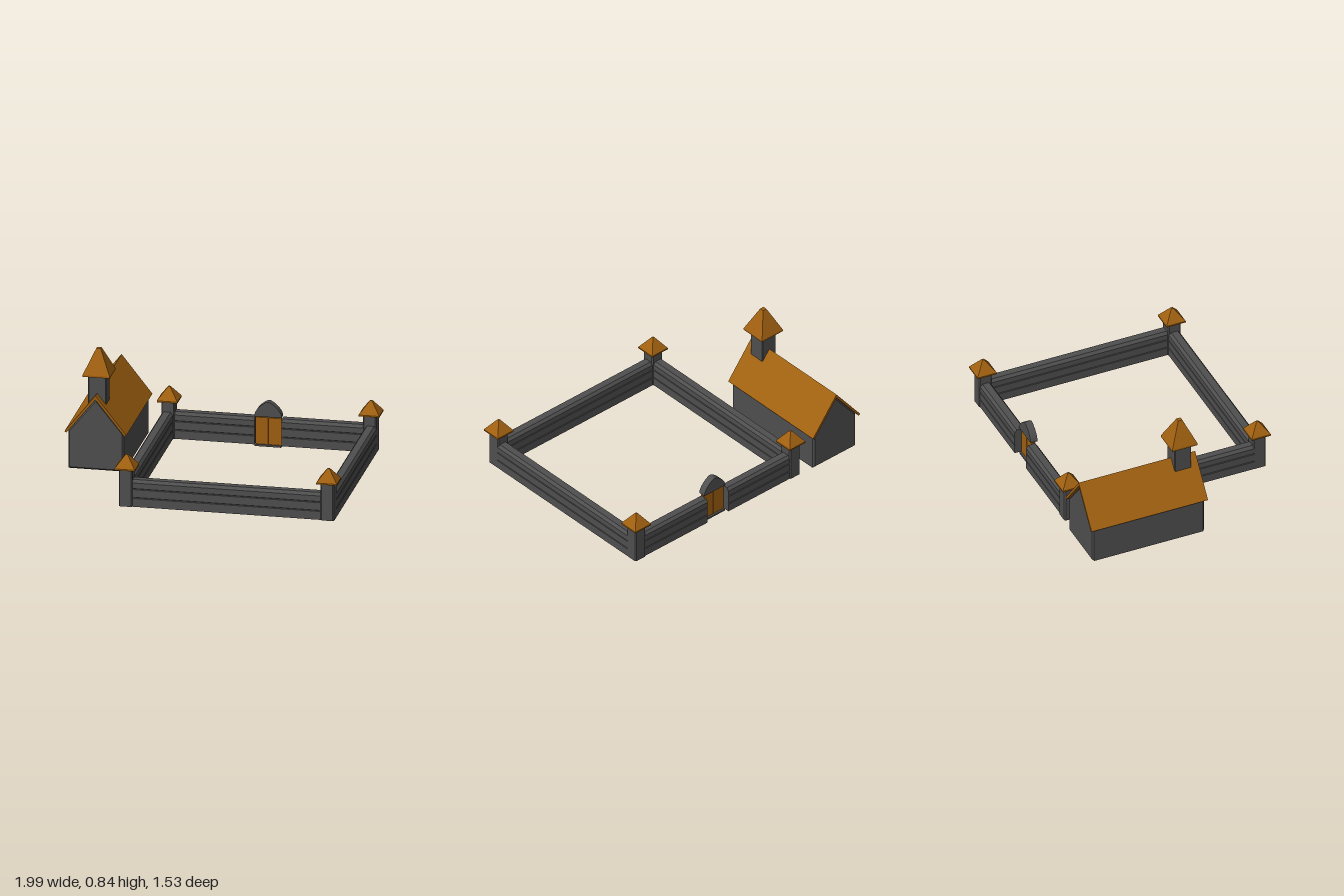
import * as THREE from 'three';

const stone = new THREE.MeshStandardMaterial({ color: 0x4f4f4f, flatShading: true });
const wood = new THREE.MeshStandardMaterial({ color: 0xa06010, flatShading: true });

const polygon = (pts) => new THREE.Shape(pts.map(([x, y]) => new THREE.Vector2(x, y)));

function add(parent, name, geometry, material, x = 0, y = 0, z = 0) {
  const mesh = new THREE.Mesh(geometry, material);
  mesh.name = name;
  mesh.position.set(x, y, z);
  parent.add(mesh);
  return mesh;
}

const extrude = (shape, depth, options = {}) =>
  new THREE.ExtrudeGeometry(shape, { depth, bevelEnabled: false, curveSegments: 8, ...options });

// Upright square pillar with chamfered corners, standing on its origin
function pillar(width, height, c) {
  const h = width / 2, i = h - c;
  const outline = [[h, -i], [h, i], [i, h], [-i, h], [-h, i], [-h, -i], [-i, -h], [i, -h]];
  return extrude(polygon(outline), height).rotateX(-Math.PI / 2);
}

// Four-sided roof: a thin eave band and a blunt pyramid
function pyramidRoof(parent, name, width, height, band, tip, x, y, z) {
  const roof = new THREE.Group();
  roof.name = name;
  roof.position.set(x, y, z);
  const r = Math.SQRT1_2;
  add(roof, 'eaveBand', new THREE.BoxGeometry(width, band, width), wood, 0, band / 2, 0);
  const slopes = new THREE.CylinderGeometry(tip * r, width * r, height - band, 4).rotateY(Math.PI / 4);
  add(roof, 'roofSlopes', slopes, wood, 0, (height + band) / 2, 0);
  parent.add(roof);
}

// Wall section: planked sides with shallow grooves and a bevelled coping
function wallProfile() {
  const half = [[0.04, 0.01]];
  for (const y of [0.073, 0.135]) half.push([0.04, y - 0.004], [0.034, y], [0.04, y + 0.004]);
  half.push([0.04, 0.178], [0.024, 0.198]);
  const mirrored = half.map(([x, y]) => [-x, y]).reverse();
  return polygon([...half, ...mirrored]);
}

function wall(parent, name, alongX, from, to, across) {
  const geometry = extrude(wallProfile(), to - from);
  if (alongX) geometry.rotateY(Math.PI / 2);
  add(parent, name, geometry, stone, alongX ? from : across, 0, alongX ? across : from);
}

function createChurch() {
  const church = new THREE.Group();
  church.name = 'church';
  church.position.x = -0.79;

  // Gabled hall with softened edges
  const b = 0.012;
  const gable = polygon([[-0.178, 0.022], [0.178, 0.022], [0.178, 0.275], [0, 0.495], [-0.178, 0.275]]);
  const hall = extrude(gable, 0.82 - 2 * b, {
    bevelEnabled: true, bevelSize: b, bevelThickness: b, bevelSegments: 1
  });
  add(church, 'hall', hall, stone, 0, 0, -0.75 + b);

  // Thin folded roof
  const fold = polygon([[0, 0.54], [-0.21, 0.275], [-0.197, 0.266], [0, 0.512], [0.197, 0.266], [0.21, 0.275]]);
  add(church, 'hallRoof', extrude(fold, 0.85), wood, 0, 0, -0.765);

  // Bell tower
  add(church, 'tower', pillar(0.122, 0.22, 0.005), stone, 0, 0.445, -0.03);
  pyramidRoof(church, 'towerRoof', 0.185, 0.18, 0.012, 0.03, 0, 0.66, -0.03);
  return church;
}

function createGate() {
  const gate = new THREE.Group();
  gate.name = 'gate';
  gate.position.set(0.23, 0, -0.67);
  add(gate, 'threshold', new THREE.BoxGeometry(0.18, 0.012, 0.05), stone, 0, 0.006, 0);

  // Pair of door leaves
  for (const side of [-1, 1]) {
    add(gate, side > 0 ? 'leftDoor' : 'rightDoor',
      new THREE.BoxGeometry(0.087, 0.188, 0.022), wood, side * 0.0455, 0.106, 0);
  }

  // Pointed arch top
  const arch = new THREE.Shape();
  arch.moveTo(-0.092, 0.21);
  arch.lineTo(0.092, 0.21);
  arch.lineTo(0.092, 0.224);
  arch.bezierCurveTo(0.08, 0.265, 0.045, 0.295, 0.008, 0.314);
  arch.lineTo(-0.008, 0.314);
  arch.bezierCurveTo(-0.045, 0.295, -0.08, 0.265, -0.092, 0.224);
  add(gate, 'archTop', extrude(arch, 0.05), stone, 0, 0, -0.025);
  return gate;
}

export function createModel() {
  const model = new THREE.Group();
  model.name = 'walledChurchyard';
  model.add(createChurch(), createGate());

  // Corner posts with little roofs
  for (const x of [-0.45, 0.922]) {
    for (const z of [-0.688, 0.692]) {
      const post = new THREE.Group();
      post.name = 'cornerPost';
      post.position.set(x, 0, z);
      add(post, 'postShaft', pillar(0.092, 0.265, 0.008), stone, 0, 0.01, 0);
      pyramidRoof(post, 'postRoof', 0.14, 0.095, 0.01, 0.014, 0, 0.27, 0);
      model.add(post);
    }
  }

  // Enclosing walls, open at the back for the gate
  wall(model, 'frontWall', true, -0.45, 0.922, 0.69);
  wall(model, 'rightWall', false, -0.688, 0.692, -0.455);
  wall(model, 'leftWall', false, -0.688, 0.692, 0.928);
  wall(model, 'backWallRight', true, -0.45, 0.138, -0.688);
  wall(model, 'backWallLeft', true, 0.322, 0.922, -0.688);
  return model;
}
